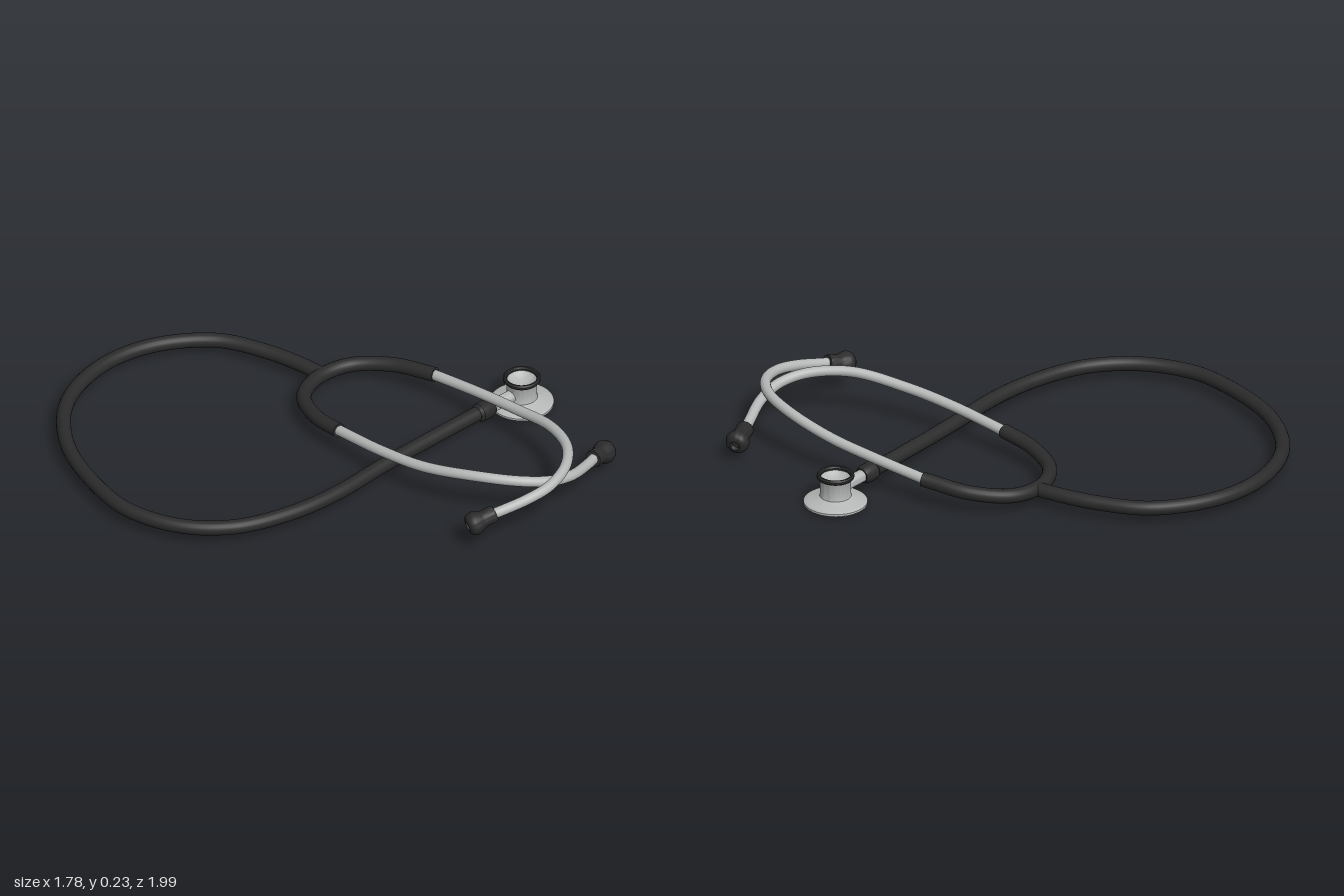
import * as THREE from 'three';
import { toCreasedNormals } from 'three/addons/utils/BufferGeometryUtils.js';

const mat = (name, color) => Object.assign(new THREE.MeshStandardMaterial({ color }), { name });
const vec = (p) => new THREE.Vector3(...p);
const UP = new THREE.Vector3(0, 1, 0);

export function createModel() {
  const rubber = mat('black rubber', 0x2b2b2b);
  const metal = mat('satin metal', 0xb6b8b8);
  const membrane = mat('grey diaphragm', 0x8c8e8e);
  const model = new THREE.Group();

  function add(name, geometry, material, parent = model) {
    const mesh = new THREE.Mesh(geometry, material);
    mesh.name = name;
    parent.add(mesh);
    return mesh;
  }

  // Round hose along a smooth path, closed with flat ends
  function hose(name, points, radius, material, segments) {
    const curve = new THREE.CatmullRomCurve3(points.map(vec), false, 'centripetal');
    const group = new THREE.Group();
    group.name = name;
    add(name + 'Wall', new THREE.TubeGeometry(curve, segments, radius, 20), material, group);
    for (const t of [0, 1]) {
      const cap = add(name + 'End', new THREE.CircleGeometry(radius, 20), material, group);
      const out = curve.getTangentAt(t).multiplyScalar(t ? 1 : -1);
      cap.position.copy(curve.getPointAt(t));
      cap.quaternion.setFromUnitVectors(new THREE.Vector3(0, 0, 1), out);
    }
    model.add(group);
  }

  // Turned part whose axis runs from one point towards another
  function turned(name, profile, material, from = [0, 0, 0], to = [0, 1, 0]) {
    const shape = new THREE.LatheGeometry(profile.map((p) => new THREE.Vector2(...p)), 40);
    const mesh = add(name, toCreasedNormals(shape, 0.6), material);
    mesh.position.copy(vec(from));
    mesh.quaternion.setFromUnitVectors(UP, vec(to).sub(vec(from)).normalize());
    return mesh;
  }

  // Long loop of rubber hose lying flat
  const loop = [
    [0.314, -0.3], [0.305, -0.42], [0.28, -0.56], [0.2, -0.76], [0, -0.92], [-0.235, -0.97],
    [-0.5, -0.9], [-0.71, -0.7], [-0.83, -0.43], [-0.863, -0.23], [-0.8, -0.01], [-0.66, 0.145],
    [-0.445, 0.24], [-0.235, 0.278], [0.03, 0.284], [0.29, 0.297], [0.58, 0.318],
  ];
  hose('mainHose', loop.map(([x, z]) => [x, 0.063, z]), 0.029, rubber, 140);

  // Rubber yoke that splits the hose, rising towards the front
  const rise = (z) => 0.065 + (z + 0.3) * 0.117;
  const yoke = [
    [0.04, 0.04], [0.065, -0.105], [0.15, -0.25], [0.285, -0.302],
    [0.425, -0.265], [0.525, -0.13], [0.567, 0.06],
  ];
  hose('yokeHose', yoke.map(([x, z]) => [x, rise(z), z]), 0.029, rubber, 60);

  // Crossing metal ear tubes
  const tubeA = [
    [0.045, rise(0), 0], [0.025, rise(0.29), 0.29], [0.035, rise(0.5), 0.5], [0.095, 0.19, 0.72],
    [0.19, 0.185, 0.86], [0.29, 0.165, 0.925], [0.4, 0.138, 0.935], [0.53, 0.108, 0.902], [0.61, 0.095, 0.876],
  ];
  const tubeB = [
    [0.563, rise(0.02), 0.02], [0.567, rise(0.29), 0.29], [0.56, rise(0.5), 0.5], [0.53, 0.195, 0.71],
    [0.46, 0.208, 0.86], [0.36, 0.204, 0.942], [0.24, 0.188, 0.97], [0.135, 0.17, 0.95],
    [0.03, 0.147, 0.905], [-0.03, 0.135, 0.876],
  ];
  hose('leftEarTube', tubeA, 0.021, metal, 80);
  hose('rightEarTube', tubeB, 0.021, metal, 80);

  // Flared ear tips with a hollow end
  const tip = [
    [0, 0], [0.032, 0], [0.035, 0.01], [0.033, 0.045], [0.037, 0.06], [0.046, 0.08],
    [0.047, 0.092], [0.042, 0.108], [0.032, 0.117], [0.02, 0.119], [0.016, 0.105], [0, 0.1],
  ];
  turned('leftEarTip', tip, rubber, [0.58, 0.1, 0.886], [0.69, 0.075, 0.86]);
  turned('rightEarTip', tip, rubber, [0.01, 0.143, 0.895], [-0.1, 0.113, 0.85]);

  // Collar and stem joining the hose to the chest piece
  const stemStart = [0.53, 0.063, 0.315];
  const stemEnd = [0.76, 0.063, 0.336];
  turned('hoseCollar', [[0, 0], [0.029, 0], [0.038, 0.012], [0.038, 0.055], [0.03, 0.078], [0, 0.078]],
    rubber, stemStart, stemEnd);
  turned('stem', [[0, 0.05], [0.025, 0.05], [0.025, 0.2], [0, 0.2]], metal, stemStart, stemEnd);

  // Chest piece: wide base, waist and cupped bell
  const centre = [0.762, 0, 0.337];
  const above = [0.762, 1, 0.337];
  turned('chestPiece', [
    [0, 0.004], [0.118, 0.004], [0.125, 0.008], [0.125, 0.017], [0.117, 0.022], [0.105, 0.026],
    [0.075, 0.034], [0.062, 0.04], [0.06, 0.05], [0.06, 0.112], [0.064, 0.12], [0.06, 0.122],
    [0.05, 0.108], [0.025, 0.098], [0.006, 0.094], [0, 0.09],
  ], metal, centre, above);
  turned('diaphragm', [[0, 0], [0.116, 0], [0.118, 0.005], [0, 0.005]], membrane, centre, above);

  // Rubber ring around the bell mouth
  turned('bellRing', [
    [0.058, 0.116], [0.068, 0.114], [0.073, 0.12], [0.073, 0.128], [0.068, 0.134],
    [0.061, 0.133], [0.057, 0.126], [0.058, 0.116],
  ], rubber, centre, above);

  return model;
}
